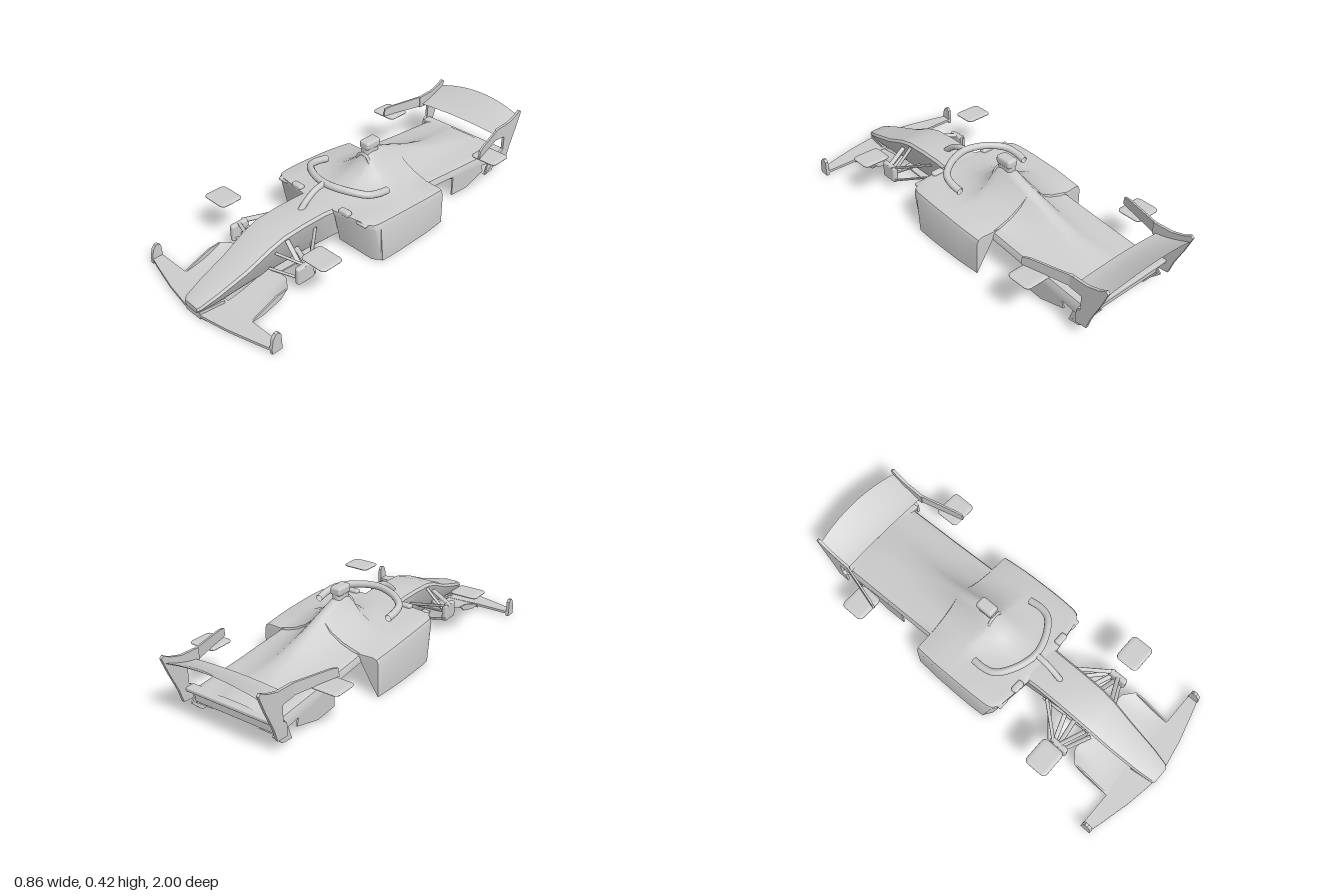
import * as THREE from 'three';
import { toCreasedNormals } from 'three/addons/utils/BufferGeometryUtils.js';
import { RoundedBoxGeometry } from 'three/addons/geometries/RoundedBoxGeometry.js';

const grey = new THREE.MeshStandardMaterial({ color: 0xcccccc, side: THREE.DoubleSide });
grey.name = 'bodyGrey';

// Skins mirrored half sections, each [z, [[x, y], ...]] from top centre down.
// Closed lofts end at the bottom centre and get caps; open ones are shells.
function loft(sections, closed, crease) {
  const pos = [], idx = [];
  let n;
  for (const [z, half, lean = () => 0] of sections) {
    const mirror = ([x, y]) => [-x, y];
    const ring = closed ? [...half, ...half.slice(1, -1).reverse().map(mirror)]
      : [...half.slice(1).reverse().map(mirror), ...half];
    n = ring.length;
    for (const [x, y] of ring) pos.push(x, y, z + lean(y));
  }
  for (let s = 0; s < sections.length - 1; s++) {
    for (let i = 0; i < (closed ? n : n - 1); i++) {
      const a = s * n + i, b = s * n + (i + 1) % n;
      idx.push(a, b, a + n, b, b + n, a + n);
    }
  }
  const last = (sections.length - 1) * n;
  for (let i = 0; closed && i < n / 2; i++) {
    const l = (n - i) % n, l2 = n - i - 1;
    idx.push(i, l, i + 1, i + 1, l, l2);
    idx.push(last + i, last + i + 1, last + l, last + i + 1, last + l2, last + l);
  }
  const g = new THREE.BufferGeometry();
  g.setAttribute('position', new THREE.Float32BufferAttribute(pos, 3));
  g.setIndex(idx);
  return toCreasedNormals(g, crease);
}

// Bends a grid into a sheet by a rule of u (-1..1) and v (0..1)
function sheet(rule, nu = 24, nv = 8) {
  const g = new THREE.PlaneGeometry(2, 1, nu, nv), p = g.attributes.position;
  for (let i = 0; i < p.count; i++) p.setXYZ(i, ...rule(p.getX(i), p.getY(i) + 0.5));
  g.computeVertexNormals();
  return g;
}

// Side-on plate: outline in [z, y], thickness along x
function plate(points, x, t = 0.008) {
  const s = new THREE.Shape(points.map(([z, y]) => new THREE.Vector2(-z, y)));
  const g = new THREE.ExtrudeGeometry(s, { depth: t, bevelEnabled: false });
  return g.rotateY(Math.PI / 2).translate(x - t / 2, 0, 0);
}

// Flat slab: mirrored half outline in [x, z], with its base height and thickness
function slab(half, y, t) {
  const points = [...half, ...half.slice().reverse().map(([x, z]) => [-x, z])];
  const s = new THREE.Shape(points.map(([x, z]) => new THREE.Vector2(x, -z)));
  return new THREE.ExtrudeGeometry(s, { depth: t, bevelEnabled: false }).rotateX(-Math.PI / 2).translate(0, y, 0);
}

// Suspension arm with a flat oval section
function arm(a, b) {
  const A = new THREE.Vector3(...a), B = new THREE.Vector3(...b);
  const g = new THREE.CylinderGeometry(0.006, 0.006, A.distanceTo(B), 10).scale(1, 1, 2);
  const q = new THREE.Quaternion().setFromUnitVectors(new THREE.Vector3(0, 1, 0), B.clone().sub(A).normalize());
  const mid = A.add(B).multiplyScalar(0.5);
  return g.applyQuaternion(q).translate(mid.x, mid.y, mid.z);
}

function tube(pts, r, segs) {
  const c = new THREE.CatmullRomCurve3(pts.map((p) => new THREE.Vector3(...p)));
  return new THREE.TubeGeometry(c, segs, r, 12);
}

const box = (w, h, d, x, y, z, r = 0.006) => new RoundedBoxGeometry(w, h, d, 3, r).translate(x, y, z);

export function createModel() {
  const car = new THREE.Group();
  car.name = 'openWheelRaceCar';
  const add = (name, g) => {
    const m = new THREE.Mesh(g, grey);
    m.name = name;
    car.add(m);
  };
  // Builds a part for the model's left (1) and right (-1)
  const pair = (name, make) => [['left', 1], ['right', -1]].forEach(([side, s]) => add(side + name, make(s)));

  // Nose and tub: z, top, upper half width, lower half width, bottom
  add('noseAndTub', loft([
    [1.0, 0.062, 0.045, 0.042, 0.035], [0.985, 0.072, 0.058, 0.05, 0.03], [0.9, 0.1, 0.073, 0.06, 0.036],
    [0.75, 0.148, 0.088, 0.065, 0.046], [0.62, 0.205, 0.1, 0.068, 0.05], [0.54, 0.228, 0.104, 0.07, 0.05],
    [0.42, 0.235, 0.105, 0.07, 0.05], [0.3, 0.234, 0.105, 0.08, 0.05], [0.2, 0.225, 0.11, 0.09, 0.052],
    [0.08, 0.215, 0.11, 0.095, 0.07], [-0.02, 0.21, 0.1, 0.09, 0.12], [-0.08, 0.21, 0.08, 0.07, 0.18],
  ].map(([z, t, w, b, y]) => [z, [[0, t], [w * 0.6, t], [w * 0.9, t - 0.005], [w, t - 0.018],
    [b, y + 0.012], [b * 0.85, y], [0, y]]]), true, 0.6));

  // Body shell from sidepod mouths to tail, open underneath, stepping in behind the sidepods:
  // z, ridge height, ridge half width, half width, shoulder height, skirt bottom
  add('bodyShell', loft([
    [0.25, 0.225, 0.03, 0.11, 0.222, 0.04], [0.225, 0.229, 0.06, 0.29, 0.224, 0], [0.2, 0.231, 0.06, 0.325, 0.223, 0],
    [0.17, 0.233, 0.06, 0.334, 0.222, 0], [0.1, 0.238, 0.06, 0.338, 0.221, 0], [0.02, 0.266, 0.055, 0.34, 0.217, 0],
    [-0.05, 0.315, 0.05, 0.34, 0.213, 0], [-0.064, 0.35, 0.042, 0.34, 0.212, 0], [-0.1, 0.364, 0.036, 0.34, 0.21, 0],
    [-0.16, 0.356, 0.034, 0.339, 0.205, 0], [-0.278, 0.312, 0.034, 0.332, 0.194, 0], [-0.282, 0.31, 0.034, 0.24, 0.192, 0.152],
    [-0.42, 0.255, 0.036, 0.24, 0.178, 0.138], [-0.56, 0.207, 0.045, 0.24, 0.164, 0.118], [-0.7, 0.18, 0.06, 0.24, 0.152, 0.095],
    [-0.86, 0.148, 0.07, 0.24, 0.138, 0.07],
  ].map(([z, t, r, w, y, low]) => {
    const h = t - y, foot = Math.min(0.23, w - 0.045);
    return [z, [[0, t], [r * 0.6, t - h * 0.04], [r, t - h * 0.16], [r + (foot - r) * 0.22, y + h * 0.5],
      [r + (foot - r) * 0.55, y + h * 0.22], [foot, y], [w - 0.03, y - 0.001], [w - 0.01, y - 0.008],
      [w, Math.max(y - 0.03, low + 0.004)], [w, low]],
    (py) => (z > 0.15 ? -0.045 * (1 - py / 0.22) * Math.min(1, (z - 0.15) / 0.05) : 0)];
  }), false, 0.7));

  // Air intake rim and camera pod
  add('intakeRim', new THREE.TorusGeometry(0.04, 0.008, 8, 20, Math.PI).translate(0, 0.308, -0.062));
  add('cameraNeck', box(0.046, 0.08, 0.09, 0, 0.36, -0.108, 0.018));
  add('cameraPod', box(0.06, 0.044, 0.094, 0, 0.394, -0.108, 0.014));

  // Cockpit hoop with its centre pillar
  const hoop = [[0, 0.303, 0.2], [0.06, 0.301, 0.19], [0.13, 0.295, 0.16], [0.19, 0.282, 0.11], [0.207, 0.27, 0.05],
    [0.205, 0.258, -0.01]];
  add('halo', tube([...hoop.slice(1).reverse().map(([x, y, z]) => [-x, y, z]), ...hoop], 0.018, 64));
  add('haloPillar', tube([[0, 0.305, 0.2], [0, 0.293, 0.26], [0, 0.262, 0.315], [0, 0.222, 0.36]], 0.015, 20));

  // Mirrors and sidepod vanes
  pair('Mirror', (s) => box(0.065, 0.03, 0.035, s * 0.16, 0.226, 0.225, 0.012));
  pair('SidepodVane', (s) => box(0.06, 0.014, 0.04, s * 0.265, 0.212, 0.215));

  // Front wing: thin swept blade, thicker centre, lower plane and upright end plates
  add('frontWing', slab([[0.06, 0.992], [0.2, 0.968], [0.34, 0.933], [0.425, 0.91], [0.425, 0.862], [0.24, 0.862], [0.1, 0.85]],
    0.012, 0.013));
  add('frontWingCentre', slab([[0.05, 0.992], [0.065, 0.87]], 0, 0.04));
  add('frontWingLowerPlane', slab([[0.06, 0.985], [0.2, 0.95], [0.24, 0.87]], 0, 0.012));
  pair('FrontEndPlate', (s) => plate([[0.915, 0.0], [0.915, 0.03], [0.905, 0.075], [0.89, 0.093], [0.875, 0.094],
    [0.862, 0.08], [0.86, 0.0]], s * 0.421, 0.016));
  // Flaps behind the wing, rising rearwards beside the nose
  pair('FrontFlap', (s) => sheet((u, v) => {
    const x = 0.06 + 0.18 * (u + 1) / 2;
    const notch = 0.05 * Math.max(0, (x - 0.18) / 0.06);
    return [s * x, 0.022 + 0.045 * v * v + 0.012 * v, 0.87 - v * (0.26 - notch)];
  }, 10, 8));
  pair('FlapSide', (s) => plate([[0.87, 0.02], [0.82, 0.04], [0.72, 0.075], [0.66, 0.08], [0.7, 0.045], [0.8, 0.02]], s * 0.236));
  add('floorTray', slab([[0.06, 0.65], [0.075, 0.32]], 0.006, 0.008));

  // Suspension: each arm is [inner point, outer point]
  const arms = {
    Front: [[[0.1, 0.175, 0.36], [0.235, 0.135, 0.52]], [[0.1, 0.165, 0.6], [0.235, 0.135, 0.54]],
      [[0.085, 0.09, 0.37], [0.235, 0.07, 0.5]], [[0.085, 0.09, 0.63], [0.235, 0.07, 0.56]],
      [[0.09, 0.12, 0.47], [0.235, 0.1, 0.52]], [[0.1, 0.2, 0.53], [0.22, 0.08, 0.54]]],
    Rear: [[[0.1, 0.13, -0.5], [0.225, 0.12, -0.6]], [[0.1, 0.13, -0.72], [0.225, 0.12, -0.64]],
      [[0.12, 0.08, -0.5], [0.225, 0.05, -0.6]], [[0.12, 0.07, -0.74], [0.225, 0.05, -0.64]]],
  };
  for (const [end, list] of Object.entries(arms)) {
    list.forEach(([a, b], i) => pair(`${end}Arm${i + 1}`, (s) => arm([s * a[0], a[1], a[2]], [s * b[0], b[1], b[2]])));
  }
  // Brake ducts at the wheel mounts
  pair('FrontBrakeDuct', (s) => box(0.03, 0.09, 0.1, s * 0.226, 0.1, 0.545, 0.012));
  pair('RearBrakeDuct', (s) => box(0.036, 0.09, 0.14, s * 0.212, 0.075, -0.61, 0.016));
  pair('RearDuctFin', (s) => plate([[-0.48, 0.02], [-0.48, 0.13], [-0.56, 0.14], [-0.72, 0.11], [-0.74, 0.05], [-0.6, 0.01]], s * 0.234));

  // Wheel-top deflectors: thin lens-edged plates
  for (const [end, z, d, x] of [['Front', 0.542, 0.122, 0.336], ['Rear', -0.635, 0.13, 0.343]]) {
    pair(end + 'WheelDeflector', (s) => new RoundedBoxGeometry(0.148, 0.05, d, 4, 0.024).scale(1, 0.32, 1).translate(s * x, 0.232, z));
  }

  // Rear wing: arched, curling upwards at the trailing edge
  const wing = (sag) => (u, v) => {
    const arch = 1 - u * u;
    return [u * 0.262, 0.245 + 0.012 * arch + (0.055 + 0.028 * arch) * v ** 1.4 - sag * Math.sin(v * Math.PI),
      -0.81 - v * (0.175 + 0.015 * arch)];
  };
  add('rearWing', sheet(wing(0)));
  add('rearWingUnderside', sheet(wing(0.014)));
  pair('RearEndPlate', (s) => plate([[-0.79, 0.232], [-0.79, 0.293], [-0.89, 0.297], [-0.95, 0.315], [-0.985, 0.335], [-0.998, 0.325],
    [-0.965, 0.24], [-0.92, 0.14], [-0.9, 0.075], [-0.84, 0.07], [-0.84, 0.135], [-0.862, 0.15], [-0.862, 0.225]], s * 0.264, 0.014));
  // Forward fins sweeping out from the end plates over the wheels
  pair('WheelFin', (s) => plate([[0.125, 0.24], [0.12, 0.28], [0.085, 0.288], [-0.125, 0.294], [-0.125, 0.235]], 0, 0.01)
    .rotateY(s * 0.255).translate(s * 0.294, 0, -0.685));
  // Tail beam, rear panel and diffuser corners
  add('tailBeam', box(0.52, 0.02, 0.05, 0, 0.13, -0.86));
  add('tailPanel', box(0.48, 0.07, 0.008, 0, 0.105, -0.858, 0.003));
  pair('Diffuser', (s) => sheet((u, v) => [s * (0.185 + u * 0.05), 0.012 + 0.06 * v, -0.77 - 0.1 * v], 2, 3));
  pair('DiffuserFence', (s) => plate([[-0.77, 0.008], [-0.83, 0.015], [-0.885, 0.07], [-0.86, 0.1], [-0.8, 0.1]], s * 0.23));
  return car;
}
